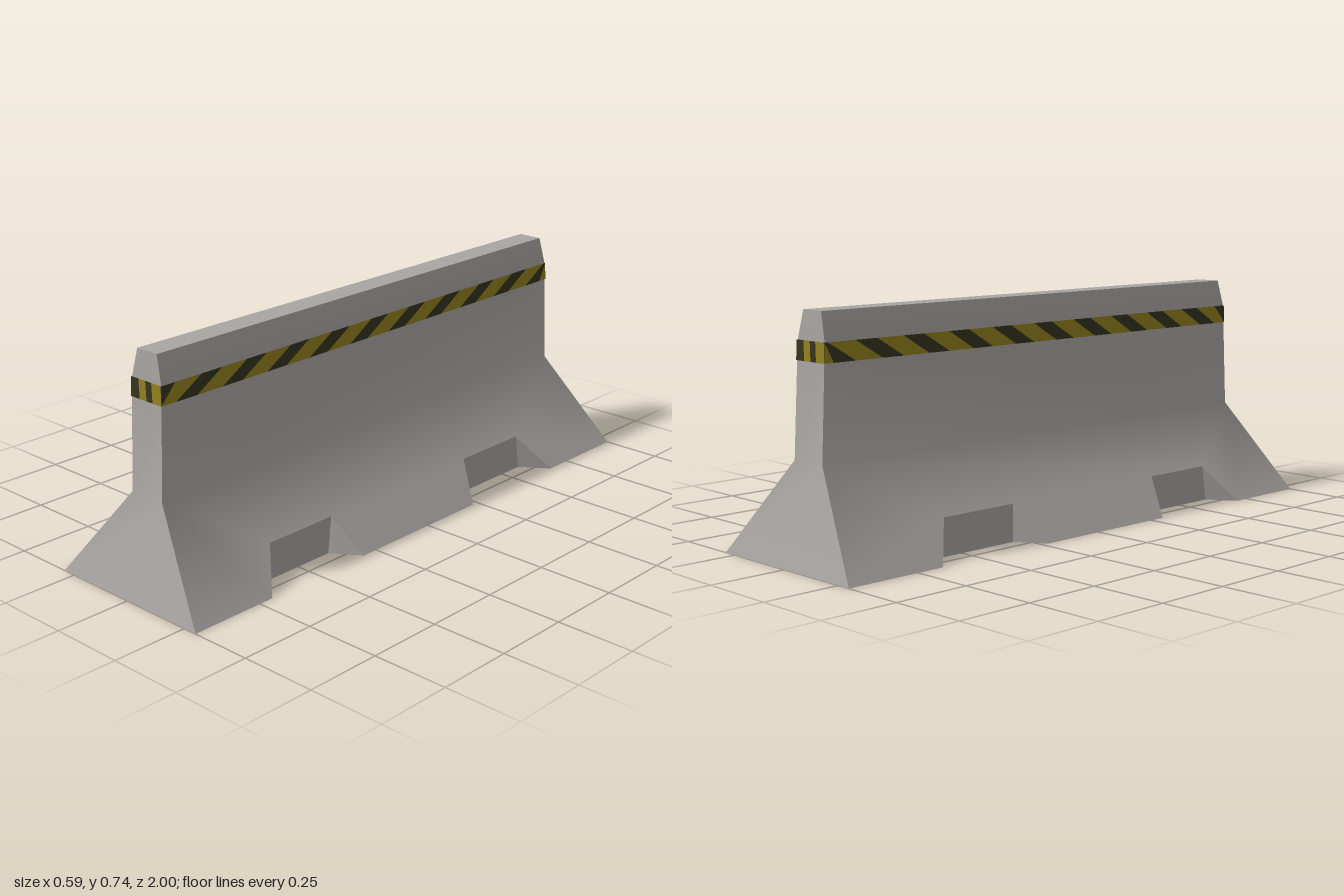
import * as THREE from 'three';
import { mergeVertices } from 'three/addons/utils/BufferGeometryUtils.js';

// Barrier profile levels: height, half width, half length
const LEVELS = [[0, 0.297, 1], [0.3, 0.066, 0.908], [0.65, 0.064, 0.89], [0.74, 0.042, 0.884]];
// Lifting notches: outer z pair, top z pair, inner floor z pair (front to back)
const NOTCHES = [
  { outer: [0.70, 0.305], top: [0.617, 0.354], floor: [0.638, 0.368] },
  { outer: [-0.227, -0.656], top: [-0.287, -0.57], floor: [-0.287, -0.59] },
];
const NOTCH_HEIGHT = 0.12;
const BAND = [0.592, 0.652];

// Interpolates half width (1) or half length (2) at a height
function halfSize(y, axis) {
  let i = 0;
  while (i < LEVELS.length - 2 && y > LEVELS[i + 1][0]) i++;
  const [a, b] = [LEVELS[i], LEVELS[i + 1]];
  return THREE.MathUtils.lerp(a[axis], b[axis], (y - a[0]) / (b[0] - a[0]));
}

// Collects convex polygons as triangles; flip mirrors them to the -x side
function polygons(list, flip = false, smooth = false) {
  const pos = [];
  for (const p of list) {
    for (let i = 1; i < p.length - 1; i++) {
      const tri = flip ? [p[0], p[i + 1], p[i]] : [p[0], p[i], p[i + 1]];
      for (const [x, y, z] of tri) pos.push(flip ? -x : x, y, z);
    }
  }
  let g = new THREE.BufferGeometry();
  g.setAttribute('position', new THREE.Float32BufferAttribute(pos, 3));
  if (smooth) g = mergeVertices(g);
  g.computeVertexNormals();
  return g;
}

// Triangulates a 2D outline and maps each point into space
function outlineTriangles(points, map) {
  const pts = points.map(([u, v]) => new THREE.Vector2(u, v));
  return THREE.ShapeUtils.triangulateShape(pts, []).map((t) => t.map((i) => map(pts[i].x, pts[i].y)));
}

// One long side: notched foot, upright wall and top chamfer
function sideFaces() {
  const [, foot] = LEVELS;
  const outline = [[-1, 0]];
  for (const n of NOTCHES) {
    outline.push([-n.outer[0], 0], [-n.top[0], NOTCH_HEIGHT], [-n.top[1], NOTCH_HEIGHT], [-n.outer[1], 0]);
  }
  outline.push([1, 0], [foot[2], foot[0]], [-foot[2], foot[0]]);
  const faces = outlineTriangles(outline, (u, y) => [halfSize(y, 1), y, -u]);
  for (let i = 1; i < LEVELS.length - 1; i++) {
    const [y0, x0, z0] = LEVELS[i];
    const [y1, x1, z1] = LEVELS[i + 1];
    faces.push([[x0, y0, z0], [x0, y0, -z0], [x1, y1, -z1], [x1, y1, z1]]);
  }
  return faces;
}

// Inner wall and two cheeks of each notch
function notchFaces() {
  const xo = halfSize(0, 1), xi = halfSize(NOTCH_HEIGHT, 1), h = NOTCH_HEIGHT;
  return NOTCHES.flatMap(({ outer, top, floor }) => [
    [[xi, 0, floor[0]], [xi, 0, floor[1]], [xi, h, top[1]], [xi, h, top[0]]],
    [[xo, 0, outer[0]], [xi, 0, floor[0]], [xi, h, top[0]]],
    [[xo, 0, outer[1]], [xi, h, top[1]], [xi, 0, floor[1]]],
  ]);
}

// Flared end facing +z
function endFaces() {
  return LEVELS.slice(0, -1).map(([y0, x0, z0], i) => {
    const [y1, x1, z1] = LEVELS[i + 1];
    return [[-x0, y0, z0], [x0, y0, z0], [x1, y1, z1], [-x1, y1, z1]];
  });
}

// Underside following the notches on both sides
function baseFaces() {
  const xo = halfSize(0, 1), xi = halfSize(NOTCH_HEIGHT, 1);
  const right = [[xo, 1]];
  for (const n of NOTCHES) {
    right.push([xo, n.outer[0]], [xi, n.floor[0]], [xi, n.floor[1]], [xo, n.outer[1]]);
  }
  right.push([xo, -1]);
  const left = right.map(([x, z]) => [-x, z]).reverse();
  const outline = [...right, ...left];
  const tris = outlineTriangles(outline, (x, z) => [x, 0, z]);
  // Wind every triangle to face down
  return tris.map(([a, b, c]) => {
    const ny = (b[2] - a[2]) * (c[0] - a[0]) - (b[0] - a[0]) * (c[2] - a[2]);
    return ny > 0 ? [a, c, b] : [a, b, c];
  });
}

// Slanted hazard blocks; returns the faces of one colour (parity 0 dark, 1 yellow)
function bandFaces(parity, edges, slant, limitAxis, map) {
  const faces = [];
  const at = (u, y) => {
    const lim = halfSize(y, limitAxis) + 0.002;
    return map(THREE.MathUtils.clamp(u, -lim, lim), y);
  };
  for (let i = 0; i < edges.length - 1; i++) {
    if (i % 2 !== parity) continue;
    faces.push([
      at(edges[i], BAND[0]), at(edges[i + 1], BAND[0]),
      at(edges[i + 1] + slant, BAND[1]), at(edges[i] + slant, BAND[1]),
    ]);
  }
  return faces;
}

export function createModel() {
  const model = new THREE.Group();
  const material = (name, color) => new THREE.MeshStandardMaterial({ name, color });
  const concrete = material('concrete grey', 0xa9a5a2);
  const paints = [material('hazard dark', 0x35331f), material('hazard yellow', 0x93821d)];

  const add = (name, geometry, mat, turn = 0) => {
    const mesh = new THREE.Mesh(geometry, mat);
    mesh.name = name;
    mesh.rotation.y = turn;
    model.add(mesh);
  };

  // Stripe edges along the sides, alternating dark and yellow
  const sideEdges = [];
  for (let i = 0; i < 12; i++) sideEdges.push(-1.02 + i * 0.18, -0.94 + i * 0.18);
  const endEdges = [-0.07, -0.028, 0.002, 0.028, 0.068, 0.08];

  for (const flip of [false, true]) {
    const side = flip ? 'right' : 'left';
    add(side + 'Wall', polygons(sideFaces(), flip, true), concrete);
    add(side + 'Notches', polygons(notchFaces(), flip), concrete);
    paints.forEach((paint, k) => {
      const onSide = (u, y) => [halfSize(y, 1) + 0.002, y, -u];
      add(side + 'Stripes', polygons(bandFaces(k, sideEdges, 0.1, 2, onSide), flip), paint);
    });
  }

  for (const [end, turn] of [['front', 0], ['back', Math.PI]]) {
    add(end + 'End', polygons(endFaces(), false, true), concrete, turn);
    paints.forEach((paint, k) => {
      const onEnd = (u, y) => [u, y, halfSize(y, 2) + 0.002];
      add(end + 'Stripes', polygons(bandFaces(k, endEdges, -0.006, 1, onEnd)), paint, turn);
    });
  }

  // Flat top and underside
  const [yt, xt, zt] = LEVELS[LEVELS.length - 1];
  add('top', polygons([[[-xt, yt, zt], [xt, yt, zt], [xt, yt, -zt], [-xt, yt, -zt]]]), concrete);
  add('base', polygons(baseFaces()), concrete);
  return model;
}
